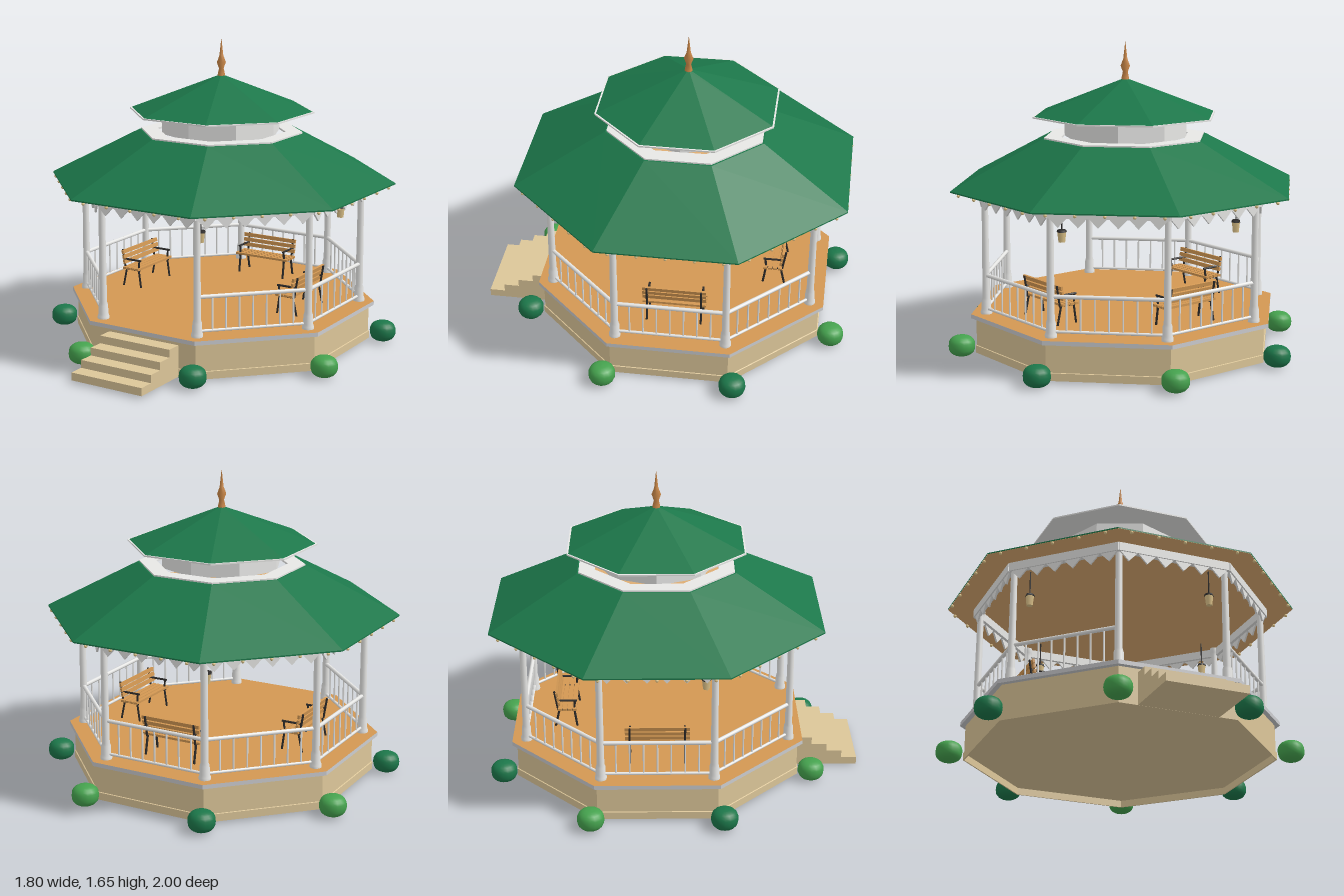
import * as THREE from 'three';

const mat = (name, color, side = THREE.FrontSide) => {
  const m = new THREE.MeshStandardMaterial({ color, side });
  m.name = name;
  return m;
};
const green = mat('roofGreen', 0x1c774a);
const leaf = mat('leafGreen', 0x45a24e);
const white = mat('whitePaint', 0xf8f8f6, THREE.DoubleSide);
const stone = mat('tanStone', 0xdcc699);
const grey = mat('greyTrim', 0xcccdd0);
const wood = mat('warmWood', 0xd39853);
const ceiling = mat('ceilingWood', 0xdead72);
const copper = mat('copper', 0xcb8848);
const dark = mat('darkIron', 0x2d2b2a);
const glass = mat('lampGlass', 0xdfc48a);

const STEP = Math.PI / 4;

function add(parent, name, geometry, material, x = 0, y = 0, z = 0) {
  const mesh = new THREE.Mesh(geometry, material);
  mesh.name = name;
  mesh.position.set(x, y, z);
  parent.add(mesh);
  return mesh;
}

// Faceted eight-sided surface; the profile is [apothem, height] pairs
function octagon(profile, turn = Math.PI / 8) {
  const k = 1 / Math.cos(Math.PI / 8);
  const pts = profile.map(([a, y]) => new THREE.Vector2(a * k, y));
  const g = new THREE.LatheGeometry(pts, 8, turn).toNonIndexed();
  g.computeVertexNormals();
  return g;
}

function lathe(profile, sides) {
  return new THREE.LatheGeometry(profile.map(([r, y]) => new THREE.Vector2(r, y)), sides);
}

// Plump clipped bush: a squared-off ellipse turned about its axis
function bushGeometry() {
  const profile = [];
  for (let i = 0; i <= 12; i++) {
    const a = -Math.PI / 2 + (i * Math.PI) / 12, s = Math.sin(a);
    const c = i % 12 === 0 ? 0 : Math.cos(a);
    profile.push([0.071 * c ** 0.82, 0.056 * Math.sign(s) * Math.abs(s) ** 0.82]);
  }
  return lathe(profile, 16);
}

// Straight round bar between two points
function bar(parent, name, a, b, r, material, sides = 6) {
  const p = new THREE.Vector3(...a), q = new THREE.Vector3(...b);
  const d = q.clone().sub(p);
  const m = add(parent, name, new THREE.CylinderGeometry(r, r, d.length(), sides), material);
  m.position.copy(p).add(q).multiplyScalar(0.5);
  m.quaternion.setFromUnitVectors(new THREE.Vector3(0, 1, 0), d.normalize());
  return m;
}

// Group turned about the centre so that its +z points outward
function spoke(parent, name, k) {
  const g = new THREE.Group();
  g.name = name;
  g.rotation.y = k * STEP;
  parent.add(g);
  return g;
}

// Pointed fringe below the beam
function valanceGeometry() {
  const half = 0.3, teeth = 6, w = (2 * half) / teeth;
  const s = new THREE.Shape();
  s.moveTo(-half, 0.88);
  s.lineTo(-half, 0.84);
  for (let i = 0; i < teeth; i++) {
    s.lineTo(-half + (i + 0.5) * w, 0.787);
    s.lineTo(-half + (i + 1) * w, 0.84);
  }
  s.lineTo(half, 0.88);
  return new THREE.ExtrudeGeometry(s, { depth: 0.01, bevelEnabled: false });
}

function addRailing(side) {
  const z = 0.706, half = 0.285;
  bar(side, 'topRail', [-half, 0.43, z], [half, 0.43, z], 0.011, white, 8);
  bar(side, 'bottomRail', [-half, 0.25, z], [half, 0.25, z], 0.008, white, 8);
  for (let i = 1; i <= 7; i++) {
    const x = -half + (i * 2 * half) / 8;
    bar(side, 'baluster', [x, 0.25, z], [x, 0.43, z], 0.005, white);
  }
}

// Bench with its back to the railing
function addBench(side) {
  const bench = new THREE.Group();
  bench.name = 'bench';
  side.add(bench);
  for (let i = 0; i < 4; i++)
    add(bench, 'seatSlat', new THREE.BoxGeometry(0.34, 0.012, 0.022), wood, 0, 0.331, 0.452 + i * 0.027);
  for (let i = 0; i < 3; i++) {
    const slat = add(bench, 'backSlat', new THREE.BoxGeometry(0.34, 0.021, 0.012), wood, 0, 0.366 + i * 0.028, 0.537 + i * 0.005);
    slat.rotation.x = 0.17;
  }
  for (const x of [-0.145, 0.145]) {
    const line = (name, y0, z0, y1, z1) => bar(bench, name, [x, y0, z0], [x, y1, z1], 0.006, dark);
    line('frontLeg', 0.222, 0.44, 0.325, 0.455);
    line('backLeg', 0.222, 0.558, 0.325, 0.535);
    line('backUpright', 0.32, 0.543, 0.432, 0.562);
    line('seatBearer', 0.322, 0.445, 0.322, 0.54);
    line('armPost', 0.325, 0.455, 0.378, 0.45);
    line('armrest', 0.378, 0.44, 0.378, 0.55);
  }
}

function addLantern(corner) {
  const z = 0.655;
  bar(corner, 'lanternWire', [0, 0.75, z], [0, 0.88, z], 0.0035, dark);
  add(corner, 'lanternGlass', new THREE.CylinderGeometry(0.023, 0.017, 0.054, 6), glass, 0, 0.714, z);
  add(corner, 'lanternCap', new THREE.CylinderGeometry(0.022, 0.026, 0.012, 6), dark, 0, 0.745, z);
}

export function createModel() {
  const model = new THREE.Group();
  model.name = 'gazebo';
  const body = new THREE.Group();
  body.name = 'pavilion';
  body.position.z = -0.095;
  model.add(body);

  // Platform, hollow under its skirt
  add(body, 'base', octagon([[0, 0.048], [0.755, 0.048], [0.755, 0.01], [0.762, 0.01], [0.762, 0.05],
    [0.757, 0.052], [0.757, 0.2]]), stone);
  add(body, 'floorTrim', octagon([[0.75, 0.2], [0.783, 0.2], [0.783, 0.222]]), grey);
  add(body, 'floor', octagon([[0.783, 0.222], [0, 0.222]]), wood);

  // Entrance steps, one block behind the other
  for (let i = 0; i < 4; i++) {
    const h = 0.042 * (i + 1), depth = 0.083;
    add(model, 'step', new THREE.BoxGeometry(0.43, h, depth), stone, 0, 0.01 + h / 2, 1 - (i + 0.5) * depth);
  }

  // Lower roof, its flat wooden ceiling and the white deck on top
  add(body, 'lowerRoof', octagon([[0.875, 0.88], [0.875, 0.887], [0.418, 1.142], [0.4, 1.142]]), green);
  add(body, 'ceiling', octagon([[0, 0.88], [0.874, 0.88], [0.868, 0.887], [0, 0.887]]), ceiling);
  add(body, 'roofDeck', octagon([[0.325, 1.14], [0.41, 1.14], [0.41, 1.15], [0.325, 1.15], [0.325, 1.14]]), white);

  // Cupola, its corners on the main axes
  add(body, 'cupolaWall', octagon([[0.302, 1.14], [0.302, 1.256]], 0), white);
  add(body, 'upperEave', octagon([[0, 1.254], [0.467, 1.254], [0.467, 1.262], [0.455, 1.262]]), white);
  add(body, 'upperRoof', octagon([[0.458, 1.262], [0.018, 1.447], [0, 1.447]]), green);
  add(body, 'finial', lathe([[0.021, 1.44], [0.02, 1.455], [0.013, 1.485], [0.025, 1.518], [0.011, 1.555],
    [0.007, 1.59], [0, 1.65]], 8), copper);

  const postShape = lathe([[0.031, 0.222], [0.031, 0.235], [0.026, 0.25], [0.025, 0.295], [0.02, 0.31],
    [0.017, 0.83], [0.024, 0.85], [0.024, 0.88]], 12);
  const bushShape = bushGeometry();
  const beadShape = new THREE.SphereGeometry(0.009, 8, 6);
  const beamShape = new THREE.BoxGeometry(0.61, 0.045, 0.035);
  const valance = valanceGeometry();

  for (let k = 0; k < 8; k++) {
    // Eave trim, railings and benches on each side; the front stays open
    const side = spoke(body, 'side', k);
    add(side, 'beam', beamShape, white, 0, 0.8575, 0.727);
    add(side, 'valance', valance, white, 0, 0, 0.727);
    for (let i = -2; i <= 2; i++) add(side, 'eaveBead', beadShape, glass, i * 0.145, 0.873, 0.87);
    if (k > 0) addRailing(side);
    if (k === 2 || k === 4 || k === 6) addBench(side);

    // Posts, bushes and lanterns at the corners
    const corner = spoke(body, 'corner', k + 0.5);
    add(corner, 'post', postShape, white, 0, 0, 0.765);
    add(corner, 'bush', bushShape, k % 2 ? leaf : green, 0, 0.056, 0.9);
    if (k % 2 === 0) addLantern(corner);
  }
  return model;
}
